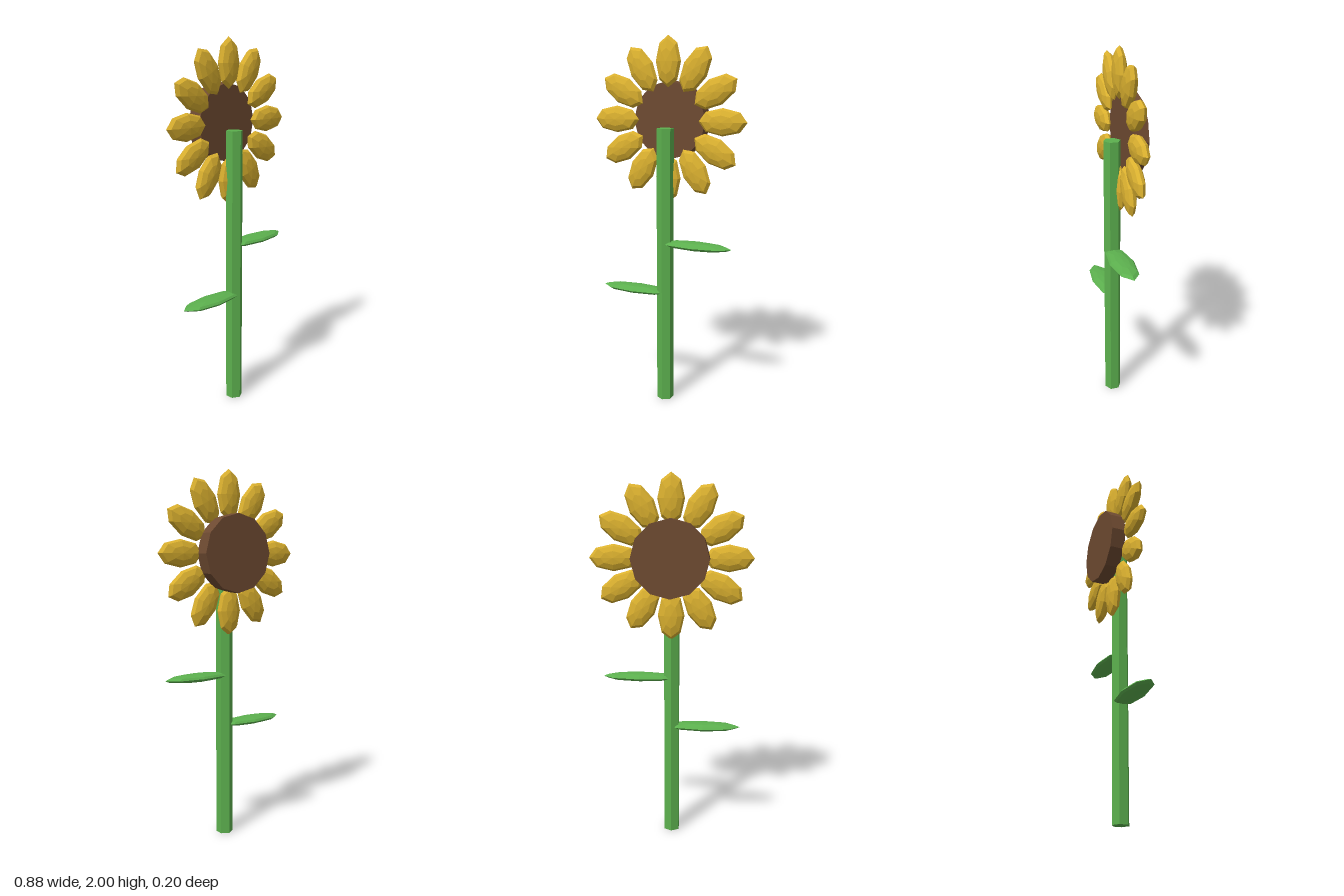
import * as THREE from 'three';

const HEAD_Y = 1.5625;

// Faceted solid with one flat colour
function addMesh(parent, name, geometry, material) {
  const flat = geometry.index ? geometry.toNonIndexed() : geometry;
  flat.computeVertexNormals();
  const mesh = new THREE.Mesh(flat, material);
  mesh.name = name;
  parent.add(mesh);
  return mesh;
}

export function createModel() {
  const green = new THREE.MeshStandardMaterial({ color: 0x5cb04e });
  green.name = 'leafGreen';
  const yellow = new THREE.MeshStandardMaterial({ color: 0xdab02f });
  yellow.name = 'petalYellow';
  const brown = new THREE.MeshStandardMaterial({ color: 0x6e4a31 });
  brown.name = 'seedBrown';

  const model = new THREE.Group();
  model.name = 'flower';

  // Hexagonal stem
  const stem = addMesh(model, 'stem', new THREE.CylinderGeometry(0.046, 0.046, 1.525, 6), green);
  stem.position.set(0, 0.7625, 0.03);

  // Two flattened leaves, one on each side
  for (const [name, side, y] of [['leftLeaf', 1, 0.905], ['rightLeaf', -1, 0.625]]) {
    const geometry = new THREE.SphereGeometry(1, 8, 6).scale(0.205, 0.022, 0.067);
    addMesh(model, name, geometry, green).position.set(side * 0.175, y, 0.03);
  }

  // Flower head, facing away from the stem
  const head = new THREE.Group();
  head.name = 'flowerHead';
  head.position.y = HEAD_Y;
  model.add(head);

  const disc = addMesh(head, 'seedDisc',
    new THREE.CylinderGeometry(0.207, 0.207, 0.08, 12).rotateX(Math.PI / 2), brown);
  disc.position.z = -0.06;

  // Ring of twelve petals
  for (let i = 0; i < 12; i++) {
    const geometry = new THREE.SphereGeometry(1, 8, 6)
      .rotateX(Math.PI / 2)
      .scale(0.1325, 0.072, 0.035)
      .translate(0.305, 0, -0.01)
      .rotateZ(i * Math.PI / 6);
    addMesh(head, 'petal', geometry, yellow);
  }

  return model;
}
